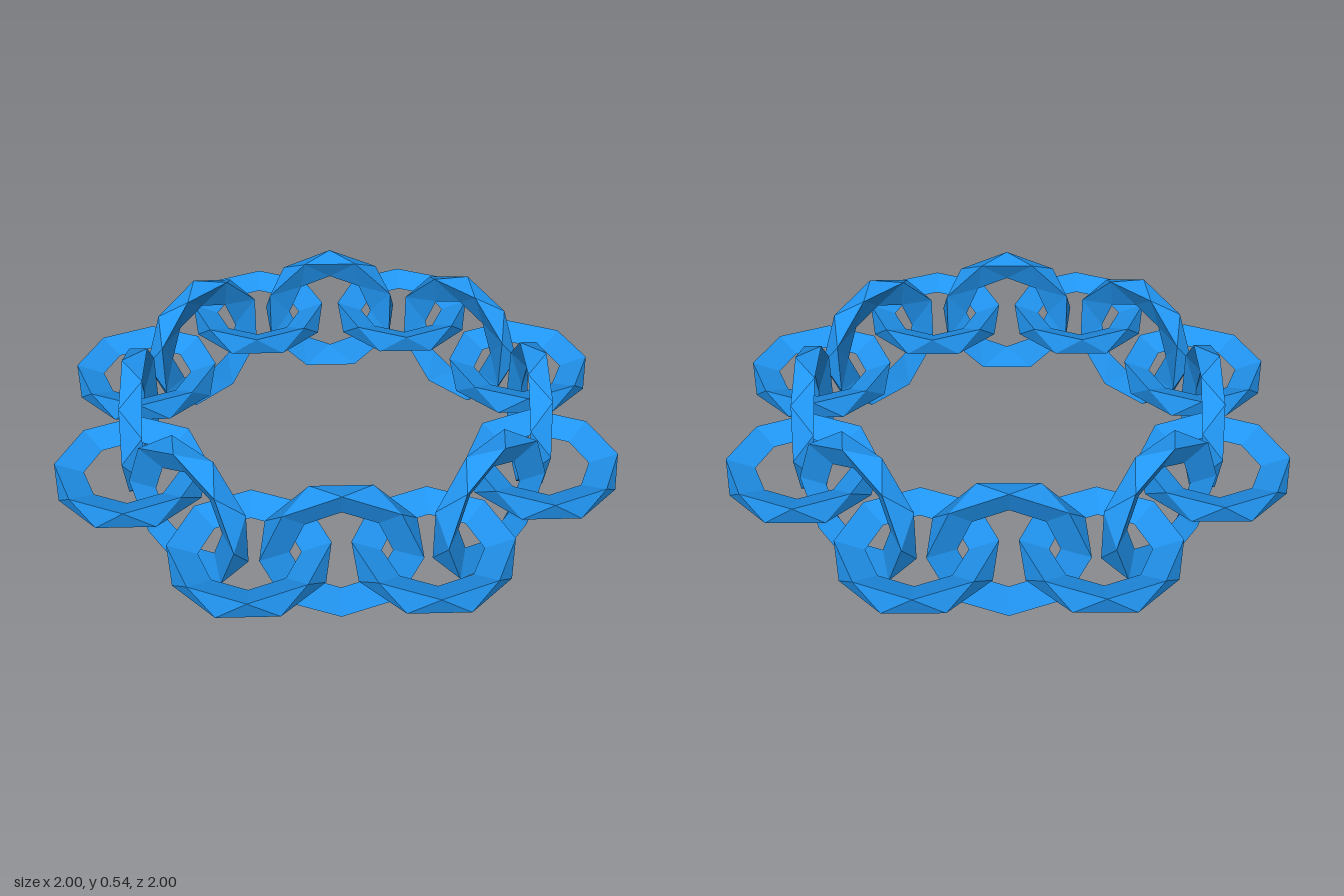
import * as THREE from 'three';

const SIDES = 8;

// Faceted ring about the y axis: two staggered outer octagons and an inner ridge
function ringGeometry() {
  const rows = [
    { r: 0.27, y: 0.04, shift: 0 },
    { r: 0.27, y: -0.04, shift: 0.5 },
    { r: 0.17, y: 0, shift: 0 },
  ];
  const positions = [];
  for (const { r, y, shift } of rows) {
    for (let i = 0; i < SIDES; i++) {
      const a = ((i + shift) / SIDES) * Math.PI * 2;
      positions.push(r * Math.cos(a), y, r * Math.sin(a));
    }
  }
  const id = (row, i) => row * SIDES + (i % SIDES);
  const index = [];
  for (let i = 0; i < SIDES; i++) {
    // outer wall
    index.push(id(0, i), id(0, i + 1), id(1, i), id(1, i), id(0, i + 1), id(1, i + 1));
    // lower slope
    index.push(id(1, i), id(1, i + 1), id(2, i + 1), id(1, i), id(2, i + 1), id(2, i));
    // upper slope
    index.push(id(2, i), id(2, i + 1), id(0, i), id(0, i), id(2, i + 1), id(0, i + 1));
  }
  const g = new THREE.BufferGeometry();
  g.setAttribute('position', new THREE.Float32BufferAttribute(positions, 3));
  g.setIndex(index);
  const flat = g.toNonIndexed();
  flat.computeVertexNormals();
  return flat;
}

export function createModel() {
  const chain = new THREE.Group();
  chain.name = 'chainLoop';
  const geometry = ringGeometry();
  const material = new THREE.MeshStandardMaterial({ color: 0x2196f3, flatShading: true });

  for (let k = 0; k < 8; k++) {
    const turn = (k * Math.PI) / 4;

    // upright link, its axis pointing out of the loop
    const upright = new THREE.Mesh(geometry, material);
    upright.name = 'uprightLink';
    upright.rotation.set(Math.PI / 2, turn, 0, 'YXZ');
    upright.position.set(0.73 * Math.sin(turn), 0.27, 0.73 * Math.cos(turn));

    // flat link between two upright ones
    const flat = new THREE.Mesh(geometry, material);
    flat.name = 'flatLink';
    const mid = turn + Math.PI / 8;
    flat.position.set(0.79 * Math.sin(mid), 0.27, 0.79 * Math.cos(mid));

    chain.add(upright, flat);
  }
  return chain;
}
